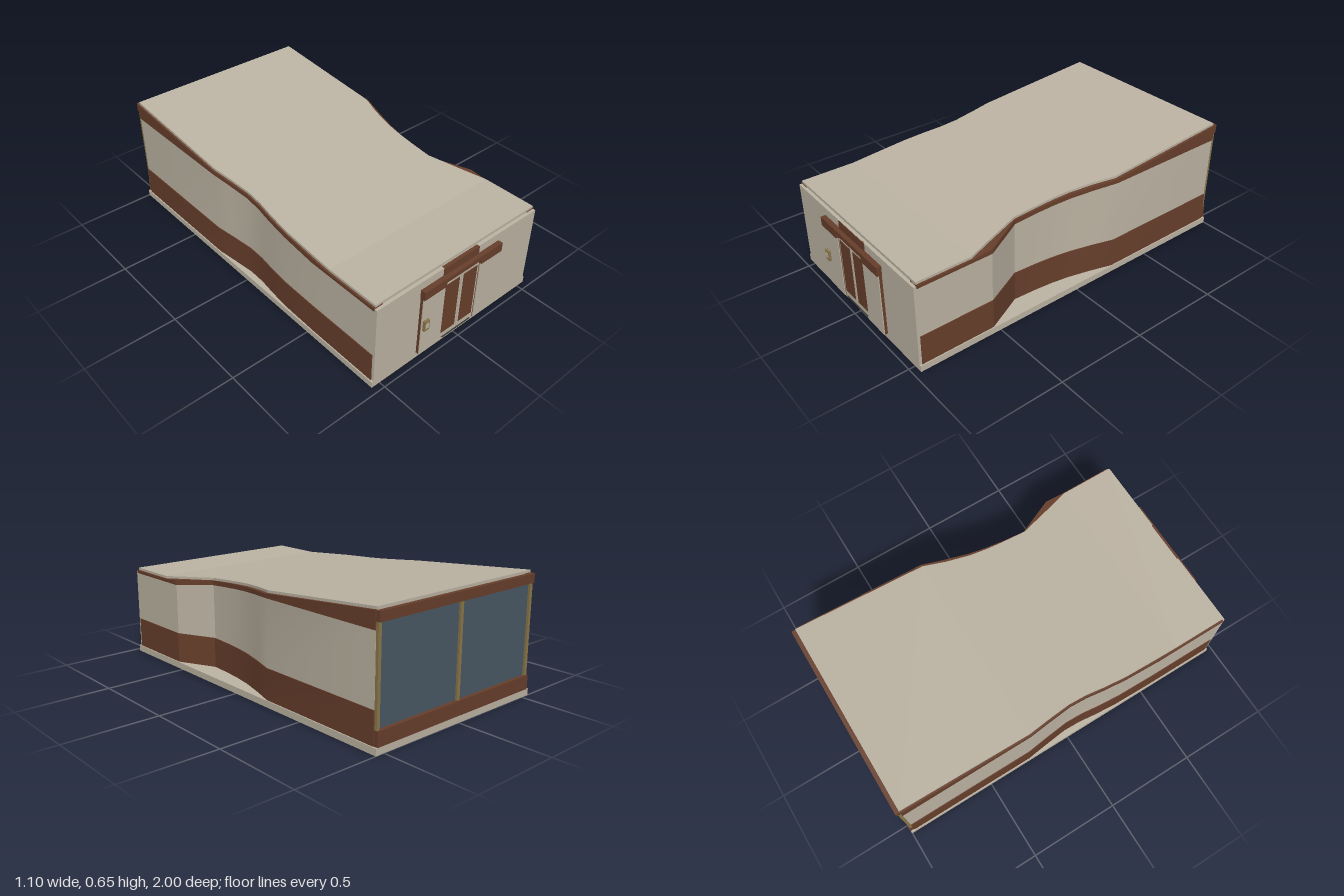
import * as THREE from 'three';
import { toCreasedNormals } from 'three/addons/utils/BufferGeometryUtils.js';

const material = (name, color) => {
  const m = new THREE.MeshStandardMaterial({ color });
  m.name = name;
  return m;
};

export function createModel() {
  const model = new THREE.Group();
  model.name = 'pavilion';
  const beige = material('beige plaster', 0xbdb4a3);
  const brown = material('brown cladding', 0x683f2c);
  const glass = material('blue grey glass', 0x4a5963);
  const gold = material('gold metal', 0x8a774a);
  const dark = material('dark threshold', 0x3c3a38);

  const add = (name, geometry, mat, parent = model) => {
    const mesh = new THREE.Mesh(geometry, mat);
    mesh.name = name;
    parent.add(mesh);
    return mesh;
  };

  // Box given by its two opposite corners
  const box = (name, mat, [x0, x1], [y0, y1], [z0, z1], parent) => {
    const g = new THREE.BoxGeometry(x1 - x0, y1 - y0, z1 - z0);
    g.translate((x0 + x1) / 2, (y0 + y1) / 2, (z0 + z1) / 2);
    return add(name, g, mat, parent);
  };

  // Solid through rectangular sections {z, x0, x1, y0, y1}, listed front to back
  const loft = (sections, crease) => {
    const rings = sections.map(({ z, x0, x1, y0, y1 }) =>
      [[x0, y0, z], [x1, y0, z], [x1, y1, z], [x0, y1, z]]);
    const pos = [];
    const quad = (a, b, c, d) => pos.push(...a, ...b, ...c, ...a, ...c, ...d);
    const first = rings[0], last = rings[rings.length - 1];
    quad(first[0], first[1], first[2], first[3]);
    quad(last[3], last[2], last[1], last[0]);
    for (let k = 0; k < rings.length - 1; k++) {
      for (let i = 0; i < 4; i++) {
        const j = (i + 1) % 4;
        quad(rings[k][i], rings[k + 1][i], rings[k + 1][j], rings[k][j]);
      }
    }
    const g = new THREE.BufferGeometry();
    g.setAttribute('position', new THREE.Float32BufferAttribute(pos, 3));
    g.computeVertexNormals();
    return crease ? toCreasedNormals(g, crease) : g;
  };

  // Half-width of walls and roof at each station along z
  const stations = [0.95, 0.65, 0.54, 0.33, 0.2, 0.1, 0, -0.13, -0.25, -0.977];
  const plan = {
    leftWall: [0.54, 0.54, 0.54, 0.44, 0.447, 0.457, 0.473, 0.505, 0.54, 0.54],
    rightWall: [0.54, 0.54, 0.54, 0.536, 0.526, 0.514, 0.511, 0.525, 0.54, 0.54],
    leftRoof: [0.535, 0.535, 0.5, 0.438, 0.442, 0.448, 0.46, 0.49, 0.528, 0.535],
    rightRoof: [0.535, 0.535, 0.535, 0.533, 0.522, 0.51, 0.507, 0.52, 0.535, 0.535],
  };
  const ramp = (z, zA, zB, yA, yB) =>
    yA + (yB - yA) * THREE.MathUtils.clamp((z - zA) / (zB - zA), 0, 1);
  const roofTop = (z) => ramp(z, 0.65, -0.977, 0.505, 0.65);
  const wallTop = (z) => ramp(z, 0.54, -0.25, 0.475, 0.55);

  // Base slab
  box('base', beige, [-0.55, 0.55], [0, 0.035], [-1, 0.965]);

  // Side walls: brown skirting, plaster, brown fascia under the roof
  const wallBand = (name, mat, side, proud, thick, bottom, top) => {
    const widths = side > 0 ? plan.leftWall : plan.rightWall;
    add(name, loft(stations.map((z, i) => {
      const outer = side * (widths[i] + proud), inner = side * (widths[i] - thick);
      return {
        z, x0: Math.min(outer, inner), x1: Math.max(outer, inner), y0: bottom(z), y1: top(z),
      };
    }), 0.3), mat);
  };
  for (const side of [1, -1]) {
    const label = side > 0 ? 'left' : 'right';
    wallBand(label + 'Skirting', brown, side, 0.004, 0.02, () => 0.035, () => 0.2);
    wallBand(label + 'Wall', beige, side, 0, 0.02, () => 0.195, (z) => wallTop(z) + 0.005);
    wallBand(label + 'Fascia', brown, side, 0.005, 0.05, wallTop, (z) => roofTop(z) - 0.013);
  }

  // Sloping roof with waisted sides
  add('roof', loft(stations.map((z, i) => ({
    z, x0: -plan.rightRoof[i], x1: plan.leftRoof[i], y0: roofTop(z) - 0.016, y1: roofTop(z),
  }))), beige);

  // Front wall
  box('frontWall', beige, [-0.54, 0.54], [0.035, 0.485], [0.945, 0.965]);
  box('signPanel', brown, [-0.12, 0.12], [0.44, 0.485], [0.95, 0.969]);

  // Entrance: canopy, flanking panels and sliding doors
  const entrance = new THREE.Group();
  entrance.name = 'entrance';
  model.add(entrance);
  box('canopy', brown, [-0.12, 0.12], [0.415, 0.44], [0.96, 0.992], entrance);
  box('threshold', dark, [-0.1, 0.1], [0.035, 0.04], [0.96, 0.982], entrance);
  for (const side of [1, -1]) {
    const span = (a, b) => (side > 0 ? [a, b] : [-b, -a]);
    box('canopyEnd', brown, span(0.12, 0.267), [0.39, 0.44], [0.96, 0.992], entrance);
    box('sidePanelCore', brown, span(0.12, 0.264), [0.035, 0.39], [0.96, 0.98], entrance);
    box('sidePanelFace', beige, span(0.12, 0.264), [0.035, 0.39], [0.98, 0.985], entrance);
    box('doorFrame', beige, span(0.002, 0.12), [0.04, 0.415], [0.96, 0.977], entrance);
    box('doorPanel', brown, span(0.014, 0.109), [0.07, 0.38], [0.977, 0.979], entrance);
  }

  // Entry keypad
  box('keypadFrame', gold, [-0.256, -0.223], [0.192, 0.252], [0.985, 0.998], entrance);
  box('keypadFace', beige, [-0.25, -0.229], [0.207, 0.237], [0.998, 1], entrance);

  // Glazed rear wall
  box('rearGlass', glass, [-0.535, 0.535], [0.1, 0.6], [-0.98, -0.972]);
  box('rearSill', brown, [-0.54, 0.54], [0.035, 0.11], [-1, -0.972]);
  box('rearFascia', brown, [-0.54, 0.54], [0.587, 0.635], [-1, -0.972]);
  for (const x of [-0.53, 0, 0.53]) {
    box('rearPost', gold, [x - 0.009, x + 0.009], [0.11, 0.587], [-0.992, -0.972]);
  }
  return model;
}
